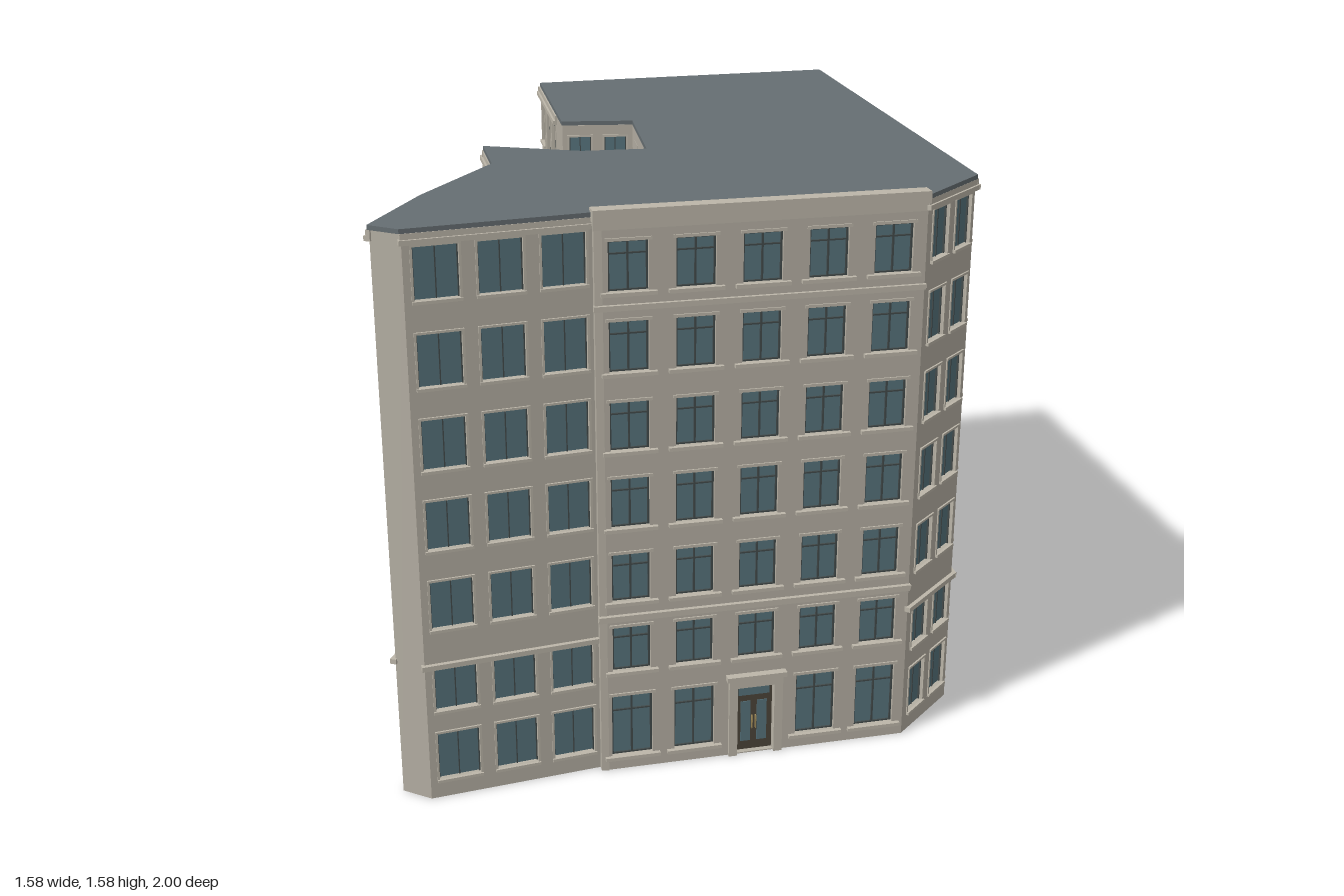
import * as THREE from 'three';
import { mergeGeometries } from 'three/addons/utils/BufferGeometryUtils.js';

const mat = (color) => new THREE.MeshStandardMaterial({ color, side: THREE.DoubleSide });
const MATS = {
  wall: mat(0xb5afa3), stone: mat(0xbcb6a9), glass: mat(0x56727b),
  frame: mat(0x424a4a), door: mat(0x4b4439), metal: mat(0xa08a58), roof: mat(0x666e72),
};
const TOP = 1.555, DEPTH = 0.02;

// window rows [bottom, top] of the plain walls and of the entrance bay
const ROWS = [[0.055, 0.194], [0.262, 0.388], [0.5, 0.636], [0.724, 0.859], [0.943, 1.078], [1.162, 1.3], [1.385, 1.52]];
const BAY_ROWS = [[0.042, 0.227], [0.303, 0.434], [0.51, 0.648], [0.724, 0.863], [0.94, 1.073], [1.153, 1.288], [1.365, 1.495]];

// footprint corners [x, z]
const P = {
  bayLeft: [-0.242, 0.878], bayRight: [0.608, 0.735], east: [0.772, 0.535], northEast: [0.565, -0.985],
  northWest: [-0.385, -0.8], courtA: [-0.315, -0.19], courtB: [-0.105, -0.19], courtC: [-0.08, 0.183],
  courtD: [-0.26, 0.2], spur: [-0.535, 0.122], waist: [-0.503, 0.335], bend: [-0.67, 0.665],
  southWest: [-0.775, 0.942], south: [-0.697, 0.985], flankEnd: [-0.242, 0.858],
};

// collects boxes by material, then merges each set into one mesh
function makeParts() {
  const sets = {};
  return {
    // box given by its limits in x, y and z
    box(kind, x0, x1, y0, y1, z0, z1) {
      const g = new THREE.BoxGeometry(x1 - x0, y1 - y0, z1 - z0);
      g.translate((x0 + x1) / 2, (y0 + y1) / 2, (z0 + z1) / 2);
      (sets[kind] ||= []).push(g);
    },
    addTo(group, names) {
      for (const kind in sets) {
        const mesh = new THREE.Mesh(mergeGeometries(sets[kind]), MATS[kind]);
        mesh.name = names[kind];
        group.add(mesh);
      }
    },
  };
}
const NAMES = { stone: 'stoneTrim', glass: 'windowPanes', frame: 'windowFrames', wall: 'blindWindows', door: 'door', metal: 'doorHandles' };

function rectHole(x0, x1, y0, y1) {
  return new THREE.Path([[x0, y0], [x1, y0], [x1, y1], [x0, y1]].map((p) => new THREE.Vector2(...p)));
}

// pane, frame, mullion, sill and lintel of one plain window
function plainWindow(parts, x, w, y0, y1) {
  const a = x - w / 2, b = x + w / 2;
  parts.box('glass', a, b, y0, y1, -0.018, -0.012);
  parts.box('frame', x - 0.0015, x + 0.0015, y0, y1, -0.012, -0.009);
  for (const [s, t] of [[a, a + 0.003], [b - 0.003, b]]) parts.box('frame', s, t, y0, y1, -0.012, -0.007);
  parts.box('stone', a - 0.006, b + 0.006, y0 - 0.008, y0, -0.012, 0.008);
  parts.box('stone', a - 0.006, b + 0.006, y1, y1 + 0.006, -0.012, 0.005);
  for (const s of [a - 0.006, b]) parts.box('stone', s, s + 0.006, y0, y1, -0.004, 0.003);
}

// closed-up window: only its outline stands out of the wall
function blindWindow(parts, x, w, y0, y1) {
  parts.box('wall', x - w / 2, x + w / 2, y0, y1, -0.01, 0.001);
  parts.box('stone', x - w / 2 - 0.006, x + w / 2 + 0.006, y0 - 0.007, y0, -0.01, 0.006);
}

// window of the entrance bay, with a cross bar and a wide sill
function bayWindow(parts, x, w, y0, y1) {
  const a = x - w / 2, b = x + w / 2, bar = y0 + (y1 - y0) * 0.72;
  parts.box('glass', a, b, y0, y1, -0.019, -0.015);
  for (const s of [a, x - 0.0025, b - 0.005]) parts.box('frame', s, s + 0.005, y0, y1, -0.015, -0.01);
  for (const s of [y0, bar, y1 - 0.005]) parts.box('frame', a, b, s, s + 0.004, -0.015, -0.01);
  parts.box('stone', a - 0.02, b + 0.02, y0 - 0.01, y0, -0.012, 0.012);
  parts.box('stone', a - 0.008, b + 0.008, y1, y1 + 0.008, -0.012, 0.004);
}

// entrance: recessed double door, transom light, surround and canopy
function entrance(parts, x) {
  parts.box('door', x - 0.052, x + 0.052, 0, 0.212, -0.024, -0.015);
  parts.box('glass', x - 0.044, x + 0.044, 0.174, 0.204, -0.015, -0.013);
  for (const s of [-1, 1]) {
    const c = x + s * 0.023;
    parts.box('glass', c - 0.014, c + 0.014, 0.03, 0.155, -0.015, -0.013);
    parts.box('metal', x + s * 0.005 - 0.0015, x + s * 0.005 + 0.0015, 0.07, 0.11, -0.015, -0.008);
    const p = x + s * 0.064;
    parts.box('stone', p - 0.012, p + 0.012, 0, 0.235, -0.005, 0.01);
  }
  parts.box('stone', x - 0.076, x + 0.076, 0.212, 0.238, -0.005, 0.012);
  parts.box('stone', x - 0.084, x + 0.084, 0.238, 0.252, -0.005, 0.022);
}

// One facade from corner a to corner b; local +z points outwards.
function facade(name, a, b, { count = 0, width = 0.098, centres, style = 'plain', trim = 0 } = {}) {
  const dx = b[0] - a[0], dz = b[1] - a[1], len = Math.hypot(dx, dz);
  const group = new THREE.Group(), parts = makeParts();
  group.name = name;
  group.position.set(a[0], 0, a[1]);
  group.rotation.y = -Math.atan2(dz, dx);

  const shape = new THREE.Shape([[0, 0], [len, 0], [len, TOP], [0, TOP]].map((p) => new THREE.Vector2(...p)));
  const spots = centres || Array.from({ length: count }, (_, i) => (i + 0.5) / count);
  const bay = style === 'bay';
  (bay ? BAY_ROWS : ROWS).forEach(([y0, y1], row) => spots.forEach((t, col) => {
    const x = t * len, w = bay && row === 0 ? 0.112 : width;
    if (bay && row === 0 && col === 2) {
      shape.holes.push(rectHole(x - 0.052, x + 0.052, 0.003, 0.212));
      entrance(parts, x);
    } else if (style === 'blind') {
      blindWindow(parts, x, w, y0, y1);
    } else {
      shape.holes.push(rectHole(x - w / 2, x + w / 2, y0, y1));
      (bay ? bayWindow : plainWindow)(parts, x, w, y0, y1);
    }
  }));

  // string course and stepped eaves
  if (trim) {
    const end = len * trim + (trim === 1 ? 0.008 : 0);
    parts.box('stone', -0.008, end, 0.388, 0.402, -0.005, 0.012);
    parts.box('stone', -0.008, end, 1.527, 1.54, -0.005, 0.012);
    parts.box('stone', -0.004, end, 1.54, TOP, -0.005, 0.006);
  }
  // bay courses and parapet
  if (bay) {
    for (const [y0, y1, out] of [[0.452, 0.462, 0.006], [0.462, 0.472, 0.012], [1.316, 1.322, 0.005], [1.322, 1.332, 0.01], [1.525, 1.545, 0.006]])
      parts.box('stone', -0.003, len + 0.003, y0, y1, -0.005, out);
    parts.box('stone', -0.004, len + 0.004, 1.545, 1.577, -0.03, 0.011);
  }

  const wall = new THREE.Mesh(new THREE.ExtrudeGeometry(shape, { depth: DEPTH, bevelEnabled: false }).translate(0, 0, -DEPTH), MATS.wall);
  wall.name = 'wall';
  group.add(wall);
  parts.addTo(group, NAMES);
  return group;
}

export function createModel() {
  const model = new THREE.Group();
  model.name = 'officeBuilding';
  model.add(
    facade('entranceBay', P.bayLeft, P.bayRight, { count: 5, width: 0.103, style: 'bay' }),
    facade('cornerFacade', P.bayRight, P.east, { centres: [0.28, 0.76], width: 0.084, trim: 1 }),
    facade('longFacade', P.east, P.northEast, { count: 11, trim: 1 }),
    facade('backFacade', P.northEast, P.northWest, { count: 7, trim: 1 }),
    facade('backSideFacade', P.northWest, P.courtA, { centres: [0.13, 0.38, 0.63], trim: 0.77 }),
    facade('courtNorthWall', P.courtA, P.courtB, { count: 2, width: 0.065 }),
    facade('courtInnerWall', P.courtB, P.courtC, { count: 2, width: 0.08, style: 'blind' }),
    facade('courtSouthWall', P.courtC, P.courtD, { count: 1, width: 0.08, style: 'blind' }),
    facade('spurWall', P.courtD, P.spur, { count: 2, width: 0.08, style: 'blind' }),
    facade('spurEndFacade', P.spur, P.waist, { count: 1, trim: 1 }),
    facade('sideFacadeBack', P.waist, P.bend, { count: 3, width: 0.085, trim: 1 }),
    facade('sideFacadeFront', P.bend, P.southWest, { count: 2, trim: 1 }),
    facade('cornerWall', P.southWest, P.south),
    facade('frontFlank', P.south, P.flankEnd, { centres: [0.17, 0.505, 0.84], width: 0.112, trim: 1 }),
    facade('bayReturn', P.flankEnd, P.bayLeft),
  );

  // flat roof slab over the whole footprint
  const outline = new THREE.Shape(Object.values(P).map(([x, z]) => new THREE.Vector2(x * 1.006, z * 1.006)));
  const roof = new THREE.Mesh(new THREE.ExtrudeGeometry(outline, { depth: 0.012, bevelEnabled: false }), MATS.roof);
  roof.geometry.rotateX(Math.PI / 2).translate(0, TOP + 0.012, 0);
  roof.name = 'roof';
  model.add(roof);
  return model;
}
